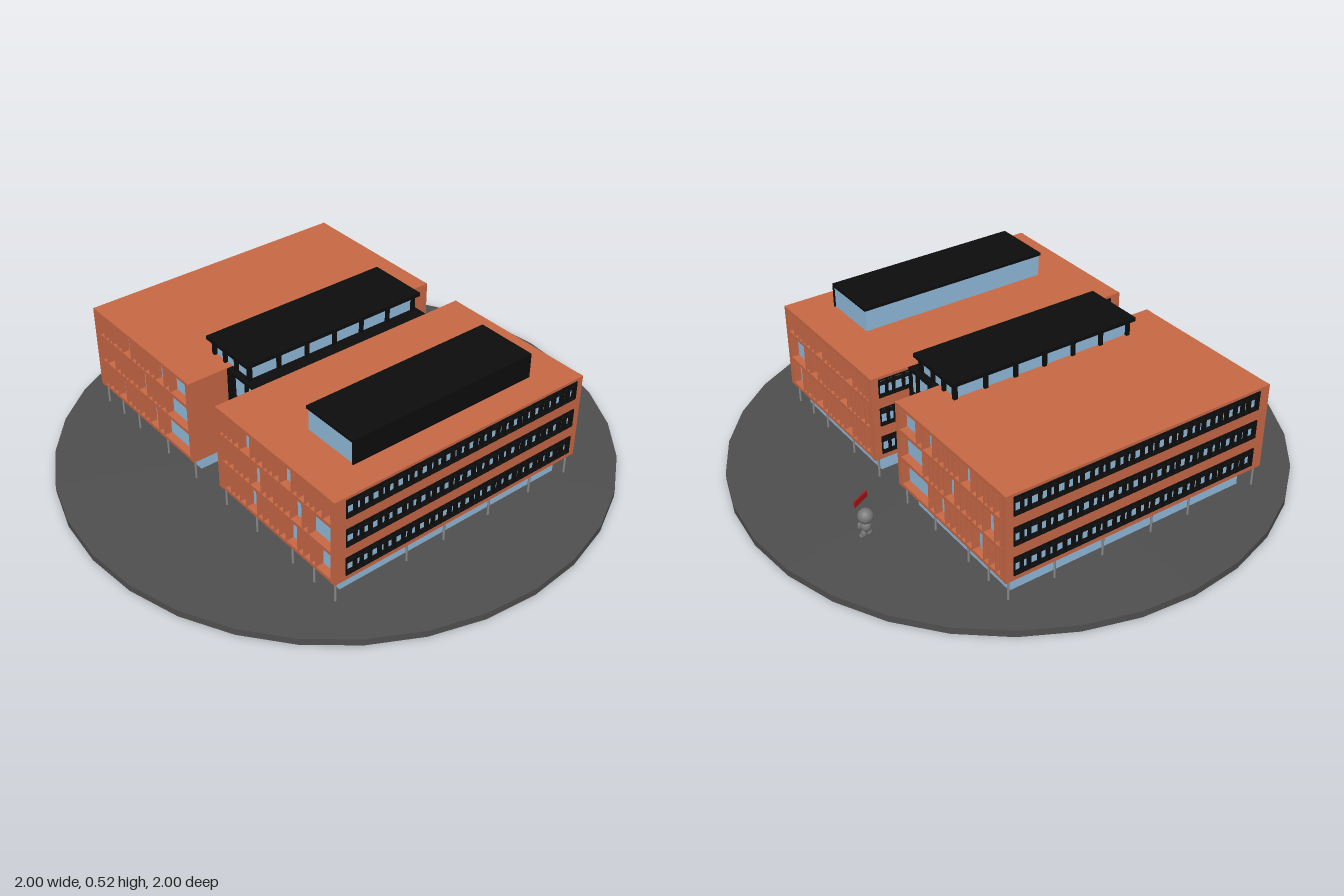
import * as THREE from 'three';
import { mergeGeometries } from 'three/addons/utils/BufferGeometryUtils.js';

const paint = (color) => new THREE.MeshStandardMaterial({ color });
const brick = paint(0xc86845), glass = paint(0x92bcdd), black = paint(0x0d0d0d);
const paving = paint(0x4f4f4f), steel = paint(0x8a8a8a), red = paint(0xb01515), stone = paint(0x777777);

const GROUND = 0.025, BASE = 0.105, TOP = 0.43, FLOOR = (TOP - BASE) / 3;
const X0 = -0.535, X1 = 0.515;

function add(parent, name, geometry, material) {
  const mesh = new THREE.Mesh(geometry, material);
  mesh.name = name;
  parent.add(mesh);
  return mesh;
}

// One mesh from boxes given as [x0, x1, y0, y1, z0, z1]
function boxes(parent, name, material, list) {
  const parts = list.map(([x0, x1, y0, y1, z0, z1]) =>
    new THREE.BoxGeometry(x1 - x0, y1 - y0, z1 - z0)
      .translate((x0 + x1) / 2, (y0 + y1) / 2, (z0 + z1) / 2));
  return add(parent, name, mergeGeometries(parts), material);
}

const windowRow = (f) => [BASE + 0.02 + f * 0.1125, BASE + 0.09 + f * 0.1125];
const WX0 = -0.49, WX1 = 0.485;

// Long wall with three ribbon windows, or a plain wall
function longWall(parent, z, side, windows) {
  const shape = new THREE.Shape();
  shape.moveTo(X0, BASE).lineTo(X1, BASE).lineTo(X1, TOP).lineTo(X0, TOP).closePath();
  const bars = [];
  if (windows) for (let f = 0; f < 3; f++) {
    const [a, b] = windowRow(f);
    const hole = new THREE.Path();
    hole.moveTo(WX0, a).lineTo(WX0, b).lineTo(WX1, b).lineTo(WX1, a).closePath();
    shape.holes.push(hole);
    const zs = side > 0 ? [z - 0.016, z + 0.004] : [z - 0.004, z + 0.016];
    // mullions with alternating wide and narrow panes
    for (let i = 0; i <= 30; i++) {
      const x = WX0 + (WX1 - WX0) * i / 30 + (i % 3 === 1 ? 0.006 : 0);
      bars.push([x - 0.002, x + 0.002, a, b, ...zs]);
    }
    for (const y of [a, a + 0.048, b - 0.004]) bars.push([WX0, WX1, y, y + 0.004, ...zs]);
  }
  const wall = new THREE.ExtrudeGeometry(shape, { depth: 0.02, bevelEnabled: false });
  wall.translate(0, 0, side > 0 ? z - 0.02 : z);
  add(parent, 'longWall', wall, brick);
  if (bars.length) boxes(parent, 'windowMullions', black, bars);
}

// A three-storey wing; outer is +1 if its street side faces +z
function wing(name, z0, z1, outer) {
  const g = new THREE.Group();
  g.name = name;
  boxes(g, 'glassCore', glass, [[X0 + 0.03, X1 - 0.03, BASE + 0.004, TOP - 0.004, z0 + 0.014, z1 - 0.014]]);
  boxes(g, 'groundFloorGlazing', glass, [[-0.48, 0.47, GROUND, BASE, z0 + 0.045, z1 - 0.045]]);
  const slabs = [];
  for (let f = 0; f <= 3; f++) {
    const y = f === 3 ? TOP - 0.012 : BASE + f * FLOOR;
    slabs.push([X0 + 0.001, X1 - 0.001, y, y + 0.012, z0 + 0.001, z1 - 0.001]);
  }
  boxes(g, 'floorSlabs', brick, slabs);
  longWall(g, z1, 1, outer > 0 || false);
  longWall(g, z0, -1, true);

  // Deep vertical fins on both ends, spaced irregularly per floor
  const fins = [];
  const steps = [0.024, 0.036, 0.03, 0.062, 0.034, 0.028];
  for (const [a, b] of [[X0 + 0.001, X0 + 0.034], [X1 - 0.034, X1 - 0.001]]) {
    for (let f = 0; f < 3; f++) {
      const y = BASE + f * FLOOR;
      let d = outer > 0 ? 0.06 + 0.035 * ((f + 1) % 3) : 0.03;
      const end = outer > 0 ? 0.6 : 0.45 + 0.03 * f;
      for (let i = f * 2; d < end; i++) {
        const z = outer > 0 ? z1 - d : z0 + d;
        fins.push([a, b, y + 0.006, y + FLOOR, z - 0.0025, z + 0.0025]);
        d += steps[i % steps.length];
      }
    }
  }
  boxes(g, 'endFins', brick, fins);

  // Slender columns around the recessed ground floor
  const spots = [];
  const zOut = outer > 0 ? z1 - 0.015 : z0 + 0.015, zIn = outer > 0 ? z0 + 0.015 : z1 - 0.015;
  for (const x of [-0.52, -0.23, -0.07, 0.13, 0.32, 0.495]) spots.push([x, zOut]);
  for (const x of [-0.52, 0.495]) {
    spots.push([x, zIn]);
    for (const t of [0.18, 0.37, 0.7]) spots.push([x, zOut + (zIn - zOut) * t]);
  }
  const columns = spots.map(([x, z]) =>
    new THREE.CylinderGeometry(0.004, 0.004, BASE - GROUND, 8).translate(x, (BASE + GROUND) / 2, z));
  add(g, 'columns', mergeGeometries(columns), steel);
  return g;
}

// Glazed link between the wings with a raised rooflight
function atrium() {
  const g = new THREE.Group();
  g.name = 'atrium';
  const x0 = -0.38, x1 = 0.37;
  boxes(g, 'linkGlazing', glass, [[x0 + 0.01, x1 - 0.01, BASE, 0.42, -0.105, 0.05]]);
  const frame = [];
  for (const y of [BASE, 0.212, 0.325, 0.418]) frame.push([x0, x1, y, y + 0.011, -0.105, 0.05]);
  for (const z of [-0.1, -0.075, 0, 0.045]) {
    for (const x of [x0, x1 - 0.012]) frame.push([x, x + 0.012, BASE, 0.425, z - 0.005, z + 0.005]);
  }
  boxes(g, 'linkFrame', black, frame);
  boxes(g, 'rooflightGlazing', glass, [[x0 + 0.025, x1 - 0.025, 0.425, 0.488, -0.2, -0.005]]);
  boxes(g, 'rooflightRoof', black, [[x0, x1, 0.486, 0.5, -0.222, 0.015]]);
  const posts = [];
  for (let i = 0; i <= 6; i++) {
    const x = x0 + 0.02 + (x1 - x0 - 0.04) * i / 6;
    for (const z of [-0.203, -0.002]) posts.push([x - 0.007, x + 0.007, 0.425, 0.49, z - 0.007, z + 0.007]);
  }
  for (const x of [x0 + 0.02, x1 - 0.02]) {
    for (const z of [-0.14, -0.075]) posts.push([x - 0.007, x + 0.007, 0.425, 0.49, z - 0.006, z + 0.006]);
  }
  boxes(g, 'rooflightPosts', black, posts);
  return g;
}

// Small figure beside a red sign, for scale
function figure() {
  const g = new THREE.Group();
  g.name = 'figure';
  const ball = (name, r, x, y, z, sy = 1) =>
    add(g, name, new THREE.SphereGeometry(r, 16, 12).scale(1, sy, 1).translate(x, y, z), stone);
  ball('head', 0.027, 0, 0.108, 0);
  ball('body', 0.019, 0, 0.07, 0, 1.2);
  for (const s of [-1, 1]) {
    ball('leg', 0.01, s * 0.01, 0.042, 0, 1.6);
    ball('foot', 0.011, s * 0.012, 0.031, 0.006, 0.6);
    ball('arm', 0.007, s * 0.021, 0.073, 0.006, 2);
  }
  const sign = add(g, 'sign', new THREE.BoxGeometry(0.07, 0.022, 0.005), red);
  sign.position.set(-0.015, 0.135, 0.055);
  sign.rotation.y = 0.46;
  g.position.set(0.695, 0, -0.195);
  return g;
}

export function createModel() {
  const model = new THREE.Group();
  model.name = 'officeBuilding';
  add(model, 'groundDisc', new THREE.CylinderGeometry(1, 1, GROUND, 32).translate(0, GROUND / 2, 0), paving);
  model.add(wing('frontWing', 0.05, 0.665, 1), wing('backWing', -0.72, -0.105, -1), atrium(), figure());

  // Plant room on the front wing: dark street side and roof, glazed elsewhere
  boxes(model, 'plantRoomGlazing', glass, [[-0.375, 0.365, TOP, 0.513, 0.335, 0.557]]);
  boxes(model, 'plantRoomShell', black, [
    [-0.38, 0.37, 0.511, 0.522, 0.33, 0.56],
    [-0.38, 0.37, TOP, 0.513, 0.554, 0.56],
  ]);
  return model;
}
